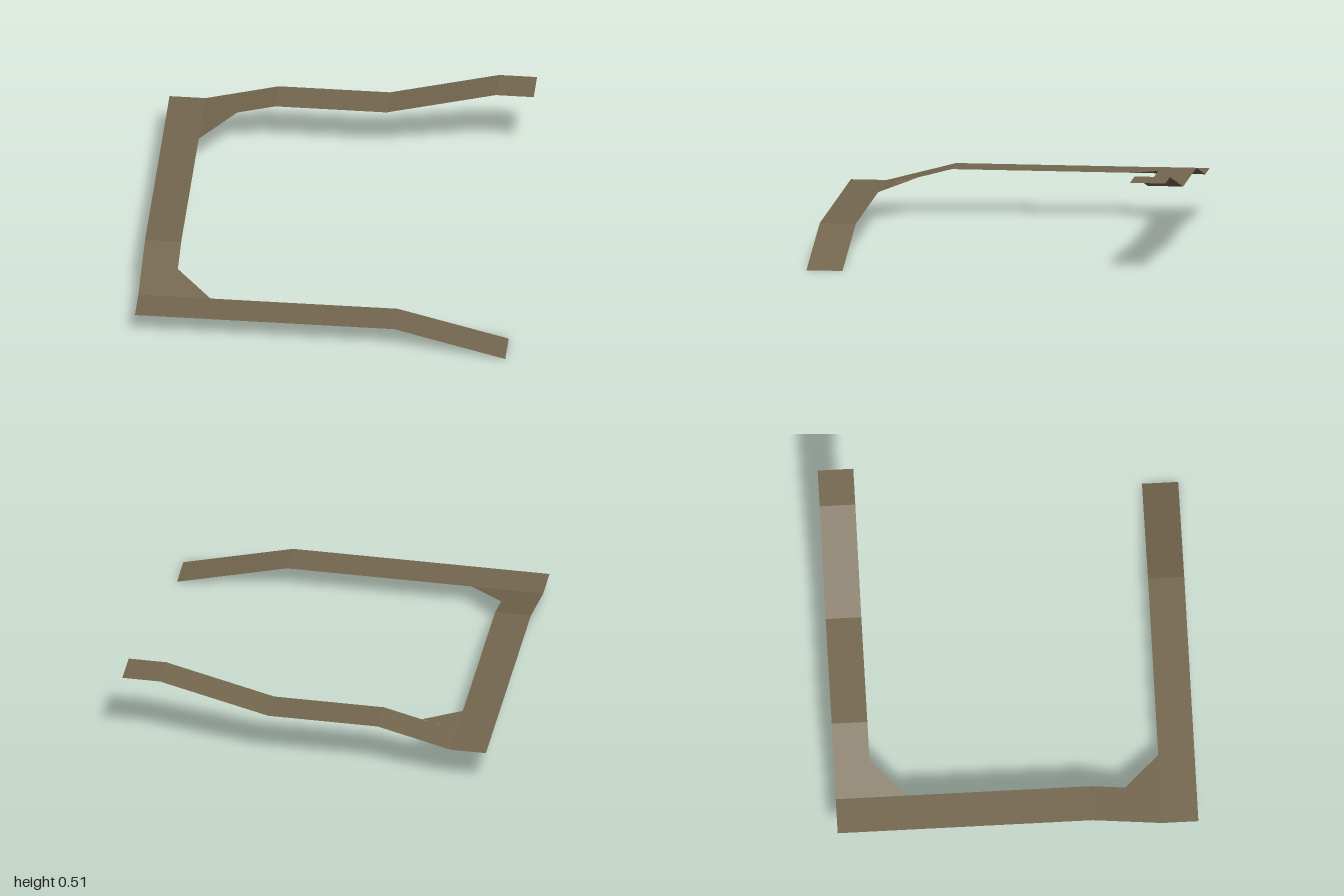
import * as THREE from 'three';

const WALL = -1;         // outer edge of the side run
const INNER = -0.805;    // inner edge of the side run
const FRONT = [0.97, 0.775];   // z edges of the front run
const BACK = [-0.78, -0.972];  // z edges of the back run

// Flat-shaded thin surface from convex polygons, each anticlockwise from above
function sheet(name, polygons, material) {
  const positions = [];
  for (const p of polygons) {
    for (let i = 1; i < p.length - 1; i++) positions.push(...p[0], ...p[i], ...p[i + 1]);
  }
  const geometry = new THREE.BufferGeometry();
  geometry.setAttribute('position', new THREE.Float32BufferAttribute(positions, 3));
  geometry.computeVertexNormals();
  const mesh = new THREE.Mesh(geometry, material);
  mesh.name = name;
  return mesh;
}

// Strip running along x through [x, y] stations
function alongX(stations, [zNear, zFar]) {
  return stations.slice(1).map(([x1, y1], i) => {
    const [x0, y0] = stations[i];
    return [[x0, y0, zNear], [x1, y1, zNear], [x1, y1, zFar], [x0, y0, zFar]];
  });
}

// Strip running along z, front to back, through [z, y] stations
function alongZ(stations, xOut, xIn) {
  return stations.slice(1).map(([z1, y1], i) => {
    const [z0, y0] = stations[i];
    return [[xOut, y0, z0], [xIn, y0, z0], [xIn, y1, z1], [xOut, y1, z1]];
  });
}

export function createModel() {
  const group = new THREE.Group();
  group.name = 'rampWalkway';
  const earth = new THREE.MeshStandardMaterial({ color: 0x75674f, side: THREE.DoubleSide });
  earth.name = 'earthBrown';

  // Front run: level, then a ramp down to the ground
  group.add(sheet('frontRun', alongX([[WALL, 0.155], [0.4, 0.155], [1, 0]], FRONT), earth));

  // Side run: ramp up from the front corner, then level to the back edge
  group.add(sheet('sideRun',
    alongZ([[FRONT[1], 0.155], [0.4, 0.255], [BACK[1], 0.255]], WALL, INNER), earth));

  // Back run: two ramps with landings
  group.add(sheet('backRun',
    alongX([[INNER, 0.255], [-0.41, 0.358], [0.19, 0.358], [0.78, 0.51], [0.985, 0.51]], BACK), earth));

  // Triangular fillets across the inner corners, following the ramps
  group.add(sheet('frontCornerFillet',
    [[[INNER, 0.155, FRONT[1]], [-0.61, 0.155, FRONT[1]], [INNER, 0.205, 0.585]]], earth));
  group.add(sheet('backCornerFillet',
    [[[INNER, 0.255, -0.585], [-0.615, 0.305, BACK[0]], [INNER, 0.255, BACK[0]]]], earth));

  return group;
}
